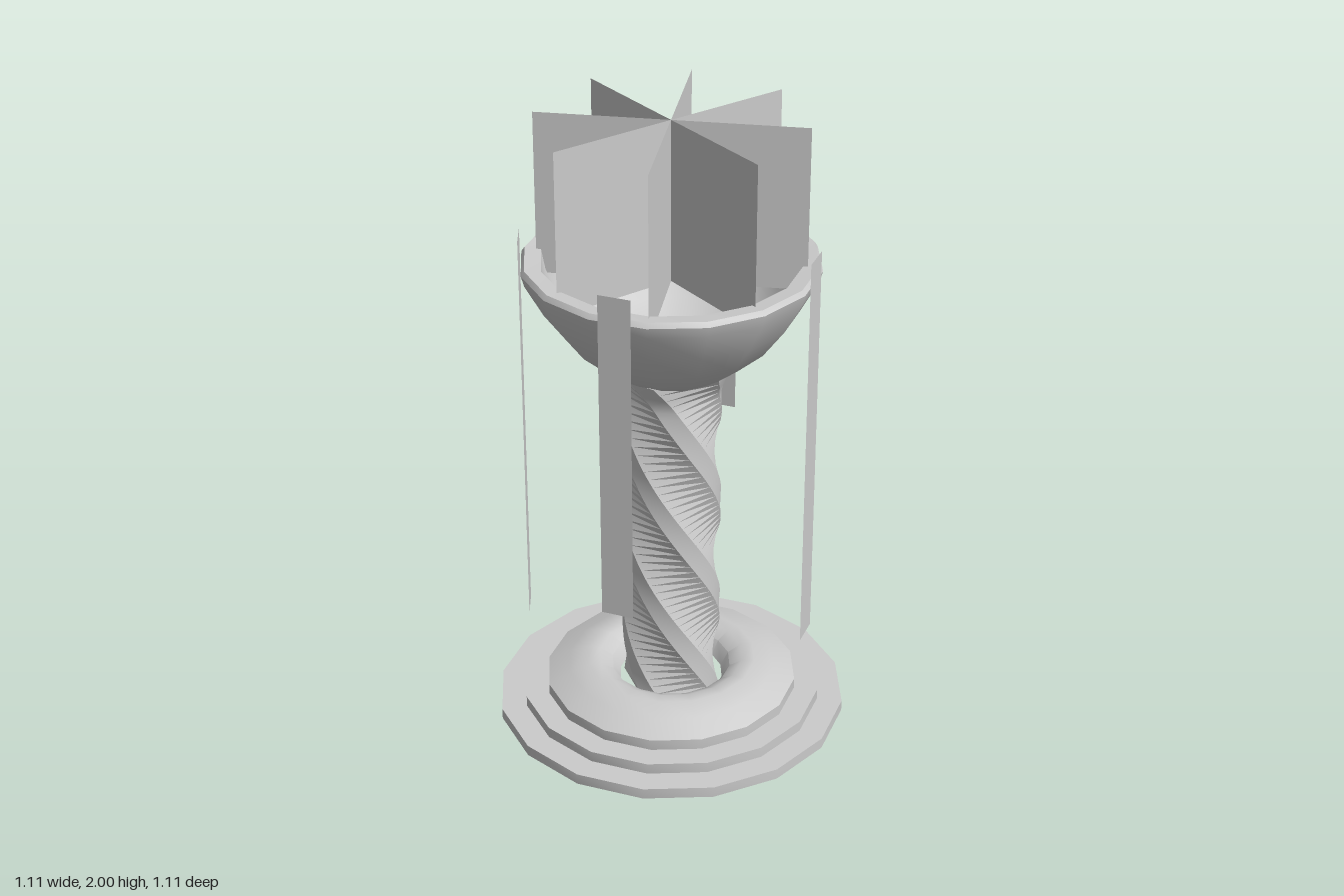
import * as THREE from 'three';
import { toCreasedNormals } from 'three/addons/utils/BufferGeometryUtils.js';

const material = new THREE.MeshStandardMaterial({ color: 0xcccccc, side: THREE.DoubleSide });

function addMesh(parent, geometry, name) {
  const mesh = new THREE.Mesh(geometry, material);
  mesh.name = name;
  parent.add(mesh);
  return mesh;
}

// 16-sided turned part from [radius, y] points
function turned(profile) {
  const points = profile.map(([r, y]) => new THREE.Vector2(r, y));
  return toCreasedNormals(new THREE.LatheGeometry(points, 16), 0.6);
}

// Twisted square column with chamfered corners, closed at both ends
function twistedColumn(bottom, top) {
  const radius = 0.155, chamfer = 0.21, steps = 48, sides = 8;
  const rows = [[bottom, 0]];
  for (let j = 0; j <= steps; j++) {
    const y = bottom + (top - bottom) * j / steps;
    rows.push([y, 1 + Math.max(0, y - 1.14) * 2.5]);
  }
  rows.push([top, 0]);
  const positions = [], index = [];
  rows.forEach(([y, scale], j) => {
    const twist = (0.95 - y) * (Math.PI / 2) / 0.375;
    for (let i = 0; i < sides; i++) {
      const corner = Math.floor(i / 2) * Math.PI / 2;
      const a = twist + corner + (i % 2 ? chamfer : -chamfer);
      positions.push(radius * scale * Math.sin(a), y, radius * scale * Math.cos(a));
      if (j === rows.length - 1) continue;
      const p = j * sides + i, q = j * sides + (i + 1) % sides;
      index.push(p, q, q + sides, p, q + sides, p + sides);
    }
  });
  const geometry = new THREE.BufferGeometry();
  geometry.setAttribute('position', new THREE.Float32BufferAttribute(positions, 3));
  geometry.setIndex(index);
  return toCreasedNormals(geometry, 0.5);
}

export function createModel() {
  const model = new THREE.Group();
  model.name = 'brazier';

  // Stepped foot, open underneath, dipping towards the column
  addMesh(model, turned([
    [0.555, 0], [0.555, 0.035], [0.475, 0.035], [0.475, 0.07], [0.4, 0.07], [0.4, 0.105],
    [0.33, 0.138], [0.27, 0.16], [0.23, 0.158], [0.19, 0.135], [0.165, 0.09],
  ]), 'base');

  addMesh(model, twistedColumn(0.08, 1.22), 'column');

  // Hollow bowl: outside, rim, inside
  addMesh(model, turned([
    [0, 1.21], [0.17, 1.21], [0.23, 1.25], [0.315, 1.325], [0.385, 1.42], [0.44, 1.52],
    [0.45, 1.555], [0.44, 1.57], [0.39, 1.565], [0.378, 1.5], [0.33, 1.4],
    [0.25, 1.32], [0.14, 1.27], [0, 1.25],
  ]), 'bowl');

  // Crossed flame sheets
  const flame = new THREE.Group();
  flame.name = 'flame';
  model.add(flame);
  for (let k = 0; k < 4; k++) {
    const sheet = addMesh(flame, new THREE.PlaneGeometry(0.81, 0.51), 'flameSheet');
    sheet.position.y = 1.745;
    sheet.rotation.y = k * Math.PI / 4;
  }

  // Strips hanging from the rim: [angle in degrees from the front, bottom height]
  const strips = new THREE.Group();
  strips.name = 'hangingStrips';
  model.add(strips);
  for (const [degrees, bottom] of [[33, 0.585], [123, 0.35], [213, 0.845], [-36, 0.35]]) {
    const angle = THREE.MathUtils.degToRad(degrees), top = 1.64;
    const strip = addMesh(strips, new THREE.PlaneGeometry(0.1, top - bottom), 'hangingStrip');
    strip.position.set(0.448 * Math.sin(angle), (top + bottom) / 2, 0.448 * Math.cos(angle));
    strip.rotation.y = angle;
  }

  return model;
}
